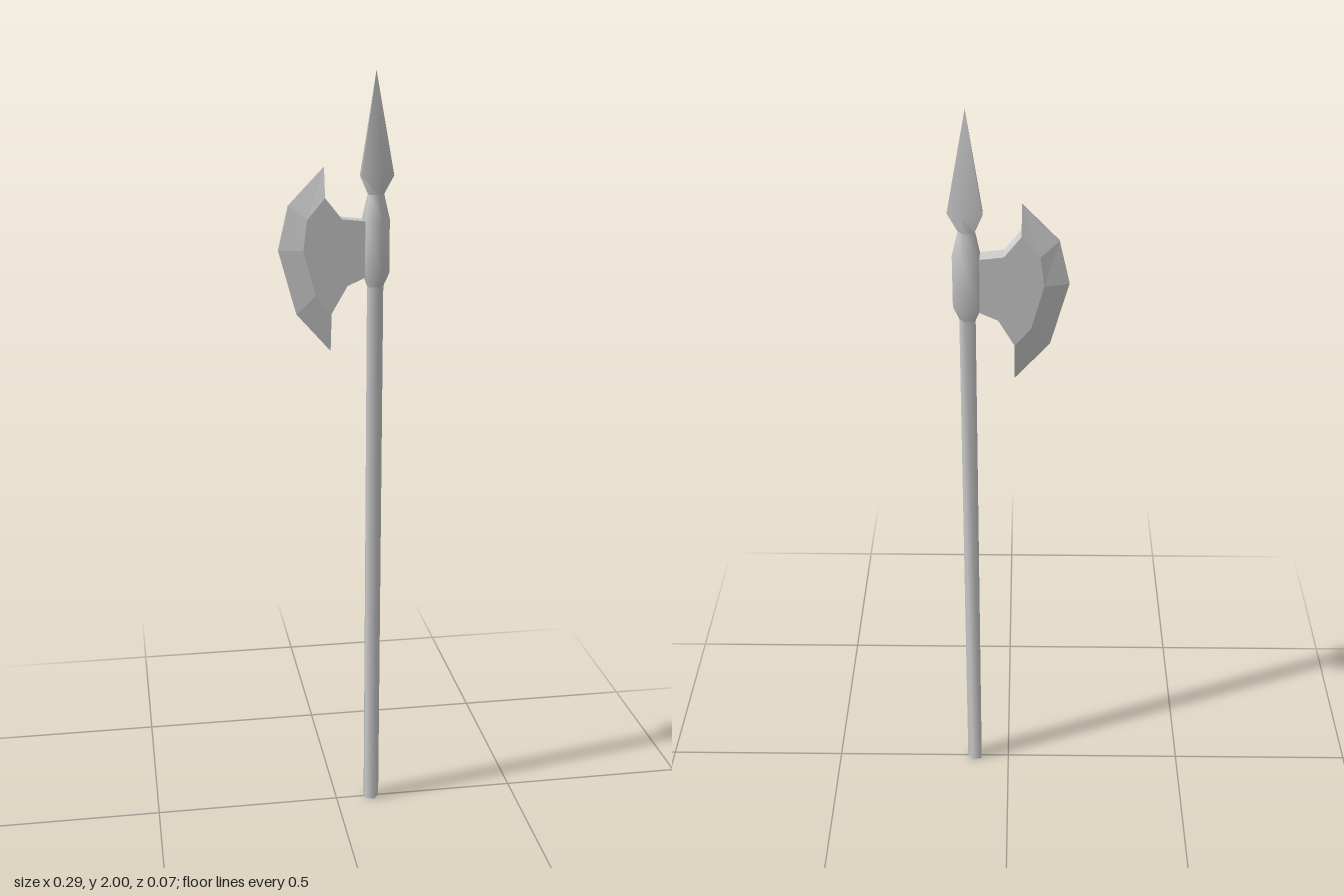
import * as THREE from 'three';
import { toCreasedNormals } from 'three/addons/utils/BufferGeometryUtils.js';

const AXIS_X = 0.098; // the shaft stands off centre, the blade balances it
const HALF = 0.022;   // half thickness of the axe plate
const EDGE = 0.004;   // half thickness of the cutting edge

// Five-sided turned part; each profile point is [radius, y, depth factor]
function turned(name, profile, material) {
  const points = profile.map(([r, y]) => new THREE.Vector2(r, y));
  const geometry = new THREE.LatheGeometry(points, 5, Math.PI / 2);
  const pos = geometry.attributes.position;
  for (let i = 0; i < pos.count; i++) {
    pos.setZ(i, pos.getZ(i) * (profile[i % profile.length][2] ?? 1));
  }
  const mesh = new THREE.Mesh(toCreasedNormals(geometry, 1.4), material);
  mesh.name = name;
  mesh.position.x = AXIS_X;
  return mesh;
}

// Axe plate with a bevel running out to a thin curved edge
function bladeGeometry() {
  const point = (z) => ([x, y]) => new THREE.Vector3(x, y, z);
  const edge = [[-0.032, 1.77], [-0.122, 1.677], [-0.148, 1.566], [-0.103, 1.402], [-0.016, 1.304]].map(point(EDGE));
  const ridge = [[-0.032, 1.696], [-0.077, 1.643], [-0.087, 1.566], [-0.056, 1.452], [-0.016, 1.405]].map(point(HALF));
  const neck = [[0.024, 1.474], [0.08, 1.5], [0.08, 1.635], [0.01, 1.643]].map(point(HALF));

  const out = [];
  const back = (p) => new THREE.Vector3(p.x, p.y, -p.z);
  const tri = (a, b, c) => [a, b, c].forEach((p) => out.push(p));
  const bothSides = (a, b, c) => { tri(a, b, c); tri(back(a), back(c), back(b)); };

  // bevels
  for (let i = 0; i < edge.length - 1; i++) {
    bothSides(edge[i], edge[i + 1], ridge[i + 1]);
    bothSides(edge[i], ridge[i + 1], ridge[i]);
  }
  // flat cheeks
  const cheek = [...ridge, ...neck];
  THREE.ShapeUtils.triangulateShape(cheek.map((p) => new THREE.Vector2(p.x, p.y)), [])
    .forEach(([a, b, c]) => bothSides(cheek[a], cheek[b], cheek[c]));
  // rim all the way round
  const rim = [...edge, ridge[4], ...neck, ridge[0]];
  rim.forEach((a, i) => {
    const b = rim[(i + 1) % rim.length];
    tri(a, back(a), back(b));
    tri(a, back(b), b);
  });

  const geometry = new THREE.BufferGeometry().setFromPoints(out);
  geometry.computeVertexNormals();
  return geometry;
}

export function createModel() {
  const group = new THREE.Group();
  group.name = 'halberd';
  const smooth = new THREE.MeshStandardMaterial({ color: 0xcccccc });
  const flat = new THREE.MeshStandardMaterial({ color: 0xcccccc, flatShading: true });

  group.add(turned('shaft', [[0, 0], [0.022, 0], [0.022, 1.468]], smooth));
  group.add(turned('socket', [[0.022, 1.468], [0.037, 1.5], [0.037, 1.637], [0.022, 1.7]], smooth));
  group.add(turned('spearhead', [[0.022, 1.7], [0.047, 1.745, 0.4], [0, 2]], smooth));

  const blade = new THREE.Mesh(bladeGeometry(), flat);
  blade.name = 'axeBlade';
  group.add(blade);
  return group;
}
